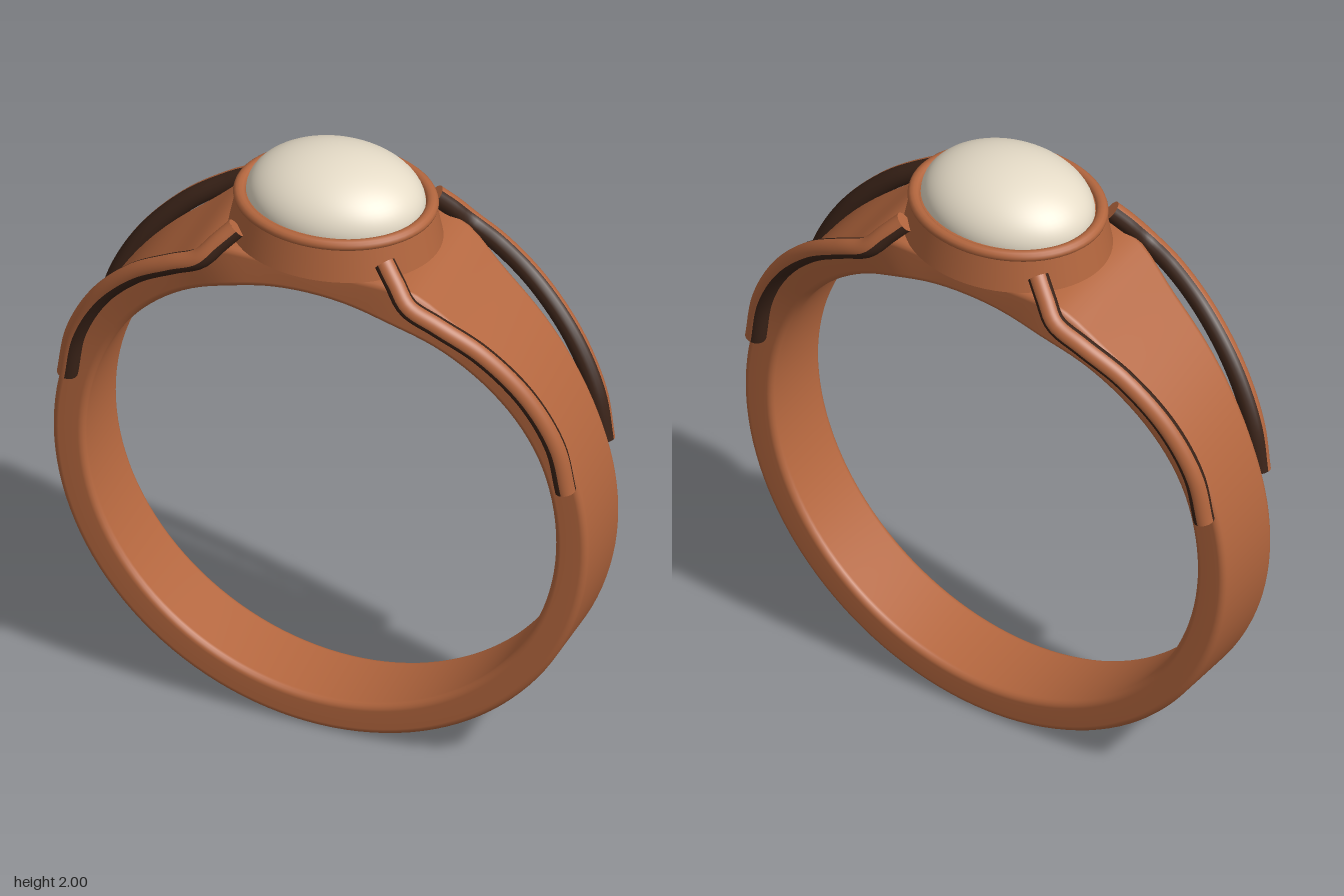
import * as THREE from 'three';

const copper = new THREE.MeshStandardMaterial({ color: 0xb3663e });
copper.name = 'copper';
const darkBrown = new THREE.MeshStandardMaterial({ color: 0x3a2318 });
darkBrown.name = 'dark brown';
const cream = new THREE.MeshStandardMaterial({ color: 0xe6dcc8 });
cream.name = 'cream stone';

function add(parent, name, geometry, material) {
  const mesh = new THREE.Mesh(geometry, material);
  mesh.name = name;
  parent.add(mesh);
  return mesh;
}

// Ring band: a rounded rectangle swept round, wider and thicker at the shoulders
function bandGeometry() {
  const steps = 128, cornerSteps = 5, cy = 0.87, inner = 0.76, bevel = 0.022;
  const section = 4 * cornerSteps;
  const positions = [], indices = [];
  for (let i = 0; i < steps; i++) {
    const a = (i / steps) * Math.PI * 2;
    const fromTop = Math.min(a, Math.PI * 2 - a);
    const outer = 0.866 + 0.04 * Math.exp(-(((fromTop - 0.36) / 0.15) ** 2));
    const y = cy + outer * Math.cos(a);
    const halfWidth = 0.13 + 0.1 * Math.max(0, (y - 1.1) / 0.65) ** 2;
    const mid = (inner + outer) / 2, halfThick = (outer - inner) / 2;
    for (let j = 0; j < section; j++) {
      const corner = Math.floor(j / cornerSteps);
      const t = (corner + (j % cornerSteps) / (cornerSteps - 1)) * Math.PI / 2;
      const sz = corner === 0 || corner === 3 ? 1 : -1;
      const sr = corner < 2 ? 1 : -1;
      const z = sz * (halfWidth - bevel) + bevel * Math.cos(t);
      const r = mid + sr * (halfThick - bevel) + bevel * Math.sin(t);
      positions.push(r * Math.sin(a), cy + r * Math.cos(a), z);
      const i2 = (i + 1) % steps, j2 = (j + 1) % section;
      const p = i * section + j, q = i2 * section + j;
      const s = i * section + j2, u = i2 * section + j2;
      indices.push(p, q, s, q, u, s);
    }
  }
  const g = new THREE.BufferGeometry();
  g.setAttribute('position', new THREE.Float32BufferAttribute(positions, 3));
  g.setIndex(indices);
  g.computeVertexNormals();
  return g;
}

// Shoulder wire from the side of the band up to the setting
const wireRadius = 0.032;
const wirePath = [
  [0.806, 1.09, 0.15], [0.775, 1.25, 0.16], [0.69, 1.415, 0.182], [0.56, 1.555, 0.213],
  [0.43, 1.64, 0.24], [0.335, 1.69, 0.246], [0.285, 1.745, 0.222], [0.24, 1.792, 0.195],
];

// Part of a round wire between two angles: 0 faces sideways, 90 faces away from the finger
function wireStrip(curve, sx, sz, fromDeg, toDeg) {
  const steps = 48, around = 12, hand = sx * sz;
  const positions = [], normals = [], indices = [];
  for (let i = 0; i <= steps; i++) {
    const centre = curve.getPointAt(i / steps);
    const tangent = curve.getTangentAt(i / steps);
    const side = new THREE.Vector3(0, 0, sz).projectOnPlane(tangent).normalize();
    const out = new THREE.Vector3().crossVectors(tangent, side).multiplyScalar(hand);
    for (let j = 0; j <= around; j++) {
      const t = THREE.MathUtils.degToRad(THREE.MathUtils.lerp(fromDeg, toDeg, j / around));
      const n = side.clone().multiplyScalar(Math.cos(t)).addScaledVector(out, Math.sin(t));
      normals.push(...n);
      positions.push(...n.multiplyScalar(wireRadius).add(centre));
      if (i === steps || j === around) continue;
      const a = i * (around + 1) + j, b = a + around + 1;
      if (hand > 0) indices.push(a, a + 1, b, b, a + 1, b + 1);
      else indices.push(a, b, a + 1, b, b + 1, a + 1);
    }
  }
  const g = new THREE.BufferGeometry();
  g.setAttribute('position', new THREE.Float32BufferAttribute(positions, 3));
  g.setAttribute('normal', new THREE.Float32BufferAttribute(normals, 3));
  g.setIndex(indices);
  return g;
}

function shoulderWire(sx, sz) {
  const group = new THREE.Group();
  group.name = 'shoulderWire';
  const curve = new THREE.CatmullRomCurve3(
    wirePath.map(([x, y, z]) => new THREE.Vector3(sx * x, y, sz * z)));
  add(group, 'wireOuterFace', wireStrip(curve, sx, sz, -5, 95), copper);
  add(group, 'wireInnerFace', wireStrip(curve, sx, sz, 95, 355), darkBrown);
  for (const end of [0, 1]) {
    const cap = add(group, 'wireEnd', new THREE.CircleGeometry(wireRadius, 24), copper);
    cap.position.copy(curve.getPointAt(end));
    const outward = curve.getTangentAt(end).multiplyScalar(end ? 1 : -1);
    cap.quaternion.setFromUnitVectors(new THREE.Vector3(0, 0, 1), outward);
  }
  return group;
}

export function createModel() {
  const ring = new THREE.Group();
  ring.name = 'ring';

  add(ring, 'band', bandGeometry(), copper);
  for (const sx of [-1, 1]) for (const sz of [-1, 1]) ring.add(shoulderWire(sx, sz));

  // Oval tapered setting with a rounded rim
  const setting = new THREE.CylinderGeometry(0.304, 0.328, 0.12, 64);
  setting.scale(1, 1, 0.85).translate(0, 1.79, 0);
  add(ring, 'setting', setting, copper);

  const rim = new THREE.TorusGeometry(0.294, 0.02, 12, 64);
  rim.rotateX(Math.PI / 2).scale(1, 0.9, 0.85).translate(0, 1.846, 0);
  add(ring, 'settingRim', rim, copper);

  // Domed oval stone
  const stone = new THREE.SphereGeometry(1, 64, 20, 0, Math.PI * 2, 0, Math.PI / 2);
  stone.scale(0.276, 0.152, 0.223).translate(0, 1.848, 0);
  add(ring, 'stone', stone, cream);

  return ring;
}
